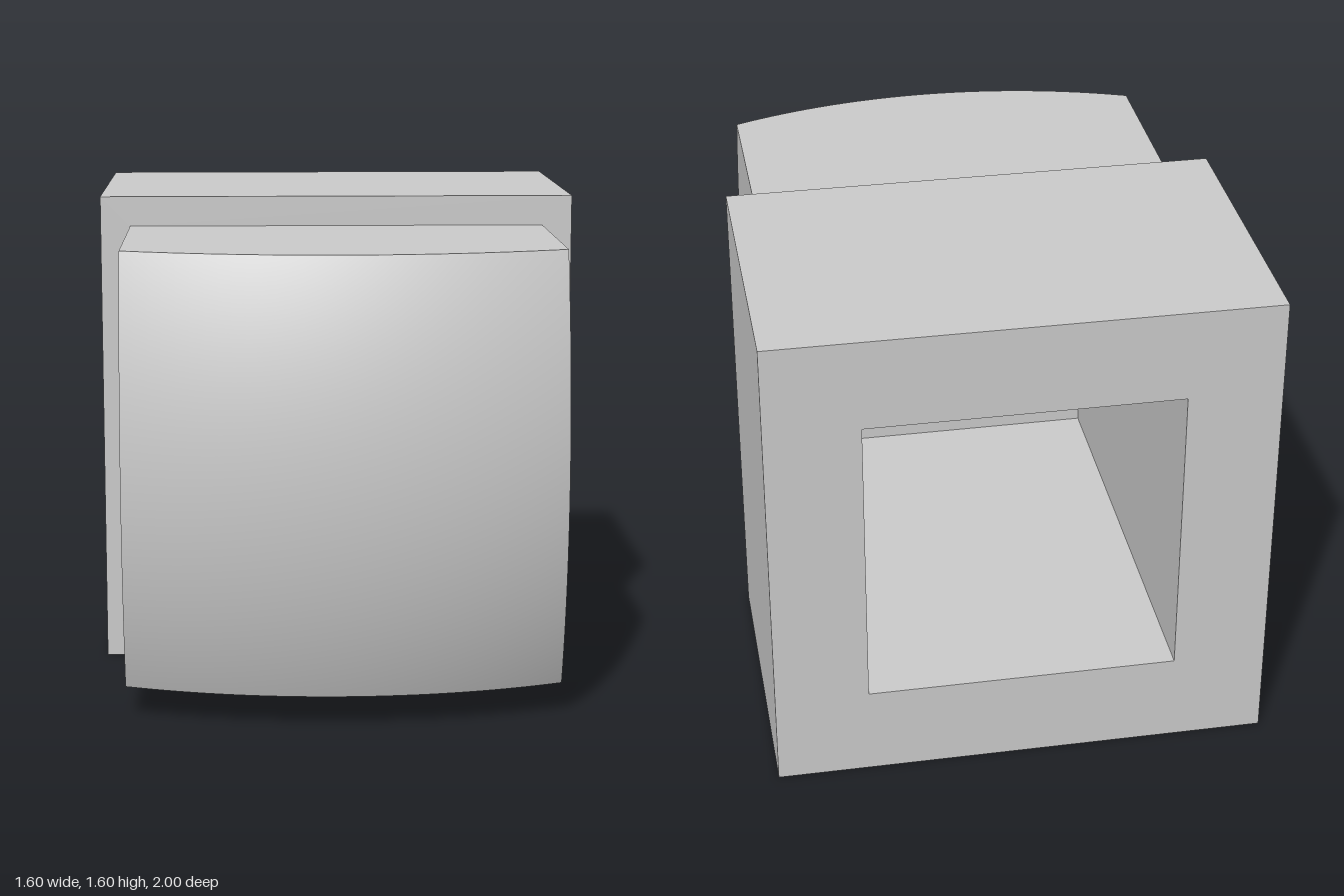
import * as THREE from 'three';
import { mergeGeometries } from 'three/addons/utils/BufferGeometryUtils.js';

const OUTER = 1.6, BUTTON = 1.4, BORE = 1.0, BORE_DEPTH = 1.5, DOME_RADIUS = 2;

// Box with only some faces kept (order: +x, -x, +y, -y, +z, -z)
function openBox(size, depth, segments, keep) {
  const g = new THREE.BoxGeometry(size, size, depth, segments, segments, 1);
  const index = Array.from(g.index.array);
  g.setIndex(keep.flatMap((k) => index.slice(g.groups[k].start, g.groups[k].start + g.groups[k].count)));
  g.clearGroups();
  return g;
}

function square(size, PathType) {
  const s = size / 2;
  return new PathType([[-s, -s], [s, -s], [s, s], [-s, s]].map(([x, y]) => new THREE.Vector2(x, y)));
}

// Flat square ring facing +z
function ring(outer, inner) {
  const shape = square(outer, THREE.Shape);
  shape.holes.push(square(inner, THREE.Path));
  return new THREE.ShapeGeometry(shape);
}

// Square housing with a ring at the front and back
function housingGeometry() {
  return mergeGeometries([
    openBox(OUTER, 1, 1, [0, 1, 2, 3]).translate(0, 0, -0.5),
    ring(OUTER, BUTTON),
    ring(OUTER, BORE).rotateY(Math.PI).translate(0, 0, -1),
  ]);
}

// Square button whose front edge and face follow a sphere
function buttonGeometry() {
  const g = openBox(BUTTON, 1, 32, [0, 1, 2, 3, 4]).translate(0, 0, 0.5);
  const p = g.attributes.position, n = g.attributes.normal;
  for (let i = 0; i < p.count; i++) {
    if (p.getZ(i) < 0.5) continue;
    const x = p.getX(i), y = p.getY(i);
    const rise = Math.sqrt(DOME_RADIUS ** 2 - x * x - y * y);
    p.setZ(i, rise - 1);
    if (n.getZ(i) > 0.5) n.setXYZ(i, x / DOME_RADIUS, y / DOME_RADIUS, rise / DOME_RADIUS);
  }
  return g;
}

// Inward-facing square pocket, open at the back
function boreGeometry() {
  return openBox(BORE, BORE_DEPTH, 1, [0, 1, 2, 3, 5])
    .scale(-1, -1, -1)
    .translate(0, 0, BORE_DEPTH / 2 - 1);
}

export function createModel() {
  const group = new THREE.Group();
  group.name = 'squareButton';
  const material = new THREE.MeshStandardMaterial({ color: 0xcccccc });
  const parts = { housing: housingGeometry(), domedButton: buttonGeometry(), bore: boreGeometry() };
  for (const [name, geometry] of Object.entries(parts)) {
    const mesh = new THREE.Mesh(geometry, material);
    mesh.name = name;
    mesh.position.y = OUTER / 2;
    group.add(mesh);
  }
  return group;
}
